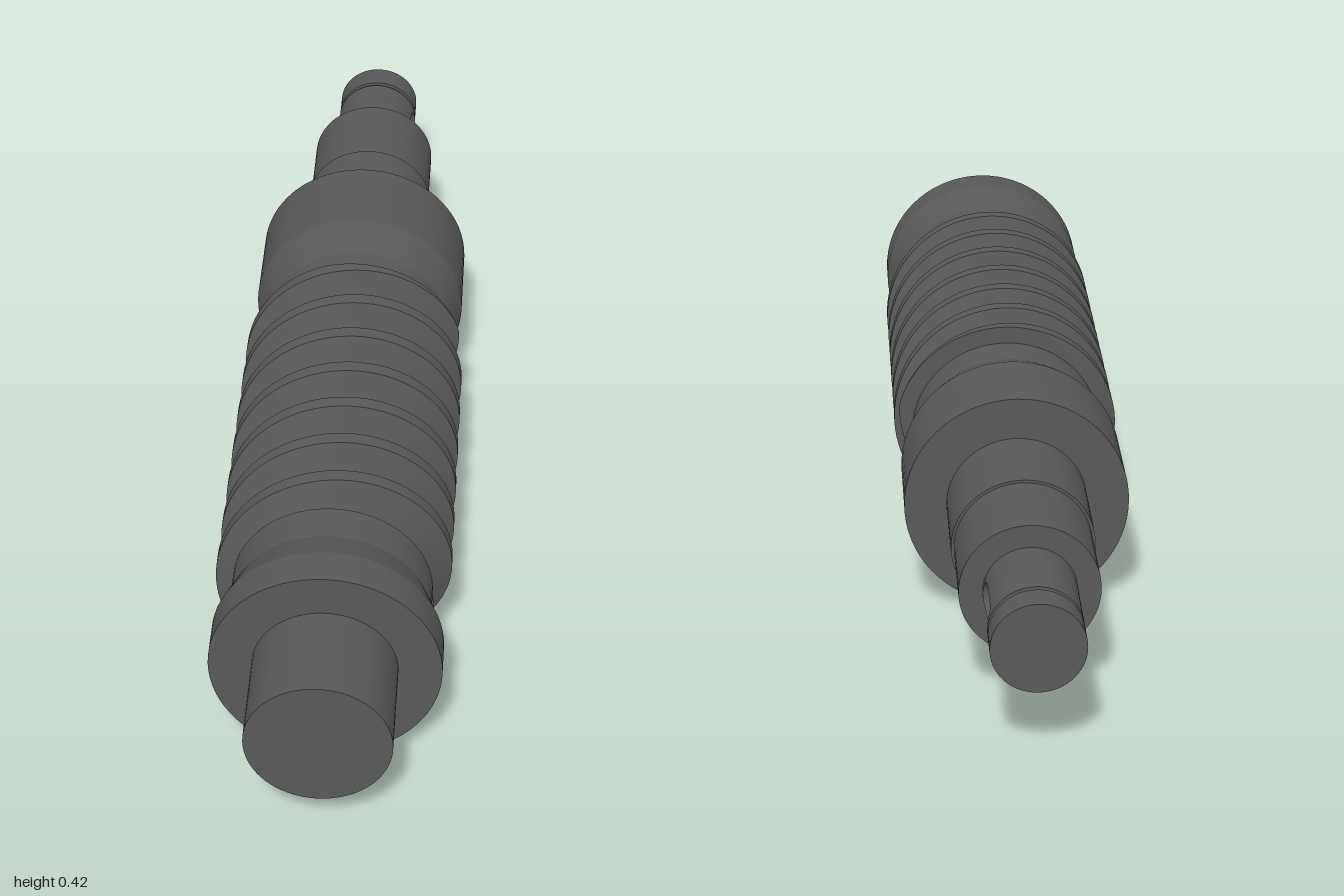
import * as THREE from 'three';
import { toCreasedNormals } from 'three/addons/utils/BufferGeometryUtils.js';

const material = new THREE.MeshStandardMaterial({ color: 0x595959 });
const TAU = Math.PI * 2;
const CREST = 0.21, ROOT = 0.14, PITCH = 0.105;
const THREAD_BACK = -0.095, THREAD_FRONT = 0.596;
const END_R = 0.081;

function part(name, geometry) {
  const mesh = new THREE.Mesh(toCreasedNormals(geometry, 0.25), material);
  mesh.name = name;
  return mesh;
}

// Turned part along z from [radius, z] pairs, listed back to front
function turned(name, profile) {
  const points = profile.map(([r, z]) => new THREE.Vector2(r, z));
  return part(name, new THREE.LatheGeometry(points, 72).rotateX(Math.PI / 2));
}

// Single-start right-hand worm thread with trapezoid teeth, cut flat at both ends
function wormThread() {
  const SEG = 96, crestHalf = 0.0135, baseHalf = 0.0375;
  const offsets = [-baseHalf, -crestHalf, crestHalf, baseHalf];
  const pos = [], index = [];
  let rows = 0;
  for (let i = 0; i <= SEG; i++) {
    const a = (i / SEG) * TAU;
    const crest0 = 0.543 + PITCH * (a / TAU - 0.25);
    const radiusAt = z => {
      const d = Math.abs(z - crest0 - PITCH * Math.round((z - crest0) / PITCH));
      const r = CREST - (d - crestHalf) / (baseHalf - crestHalf) * (CREST - ROOT);
      return THREE.MathUtils.clamp(r, ROOT, CREST);
    };
    const column = [[0.1, THREAD_BACK], [radiusAt(THREAD_BACK), THREAD_BACK]];
    for (let k = -8; k <= 2; k++) {
      for (const o of offsets) {
        const z = THREE.MathUtils.clamp(crest0 + k * PITCH + o, THREAD_BACK, THREAD_FRONT);
        column.push([radiusAt(z), z]);
      }
    }
    column.push([radiusAt(THREAD_FRONT), THREAD_FRONT], [0.1, THREAD_FRONT]);
    rows = column.length;
    for (const [r, z] of column) pos.push(r * Math.cos(a), r * Math.sin(a), z);
  }
  for (let i = 0; i < SEG; i++) {
    for (let j = 0; j < rows - 1; j++) {
      const a = i * rows + j, b = a + rows;
      index.push(a, b, a + 1, b, b + 1, a + 1);
    }
  }
  const g = new THREE.BufferGeometry();
  g.setAttribute('position', new THREE.Float32BufferAttribute(pos, 3));
  g.setIndex(index);
  return part('wormThread', g);
}

// Shaft end with a round-ended keyway on the +x side
function keywayShaft() {
  const group = new THREE.Group();
  group.name = 'keywayShaft';
  const back = -0.935, front = -0.785, half = 0.032, floor = 0.045;
  const a = Math.asin(half / END_R);
  const section = new THREE.Shape();
  section.absarc(0, 0, END_R, a, TAU - a, false);
  section.lineTo(floor, -half);
  section.lineTo(floor, half);
  section.closePath();
  const body = new THREE.ExtrudeGeometry(section, { depth: front - back, bevelEnabled: false, curveSegments: 64 });
  group.add(part('slottedShaft', body.translate(0, 0, back)));

  // Fillers that round off the two ends of the slot
  const middle = -(back + front) / 2, halfLength = (front - back) / 2;
  for (const s of [-1, 1]) {
    const arc = [], edge = [];
    for (let i = 0; i <= 14; i++) {
      const t = -Math.PI / 2 + (Math.PI * i) / 14;
      const v = half * Math.sin(t);
      arc.push(new THREE.Vector2(middle + s * (halfLength - 0.005 - half + half * Math.cos(t)), v));
      edge.unshift(new THREE.Vector2(middle + s * halfLength, v));
    }
    const g = new THREE.ExtrudeGeometry(new THREE.Shape([...arc, ...edge]), { depth: END_R - floor, bevelEnabled: false });
    g.rotateY(Math.PI / 2).translate(floor, 0, 0);
    const p = g.attributes.position;
    for (let i = 0; i < p.count; i++) {
      if (p.getX(i) > floor + 0.01) p.setX(i, Math.sqrt(END_R ** 2 - p.getY(i) ** 2));
    }
    group.add(part('keywayEnd', g));
  }
  return group;
}

export function createModel() {
  const model = new THREE.Group();
  model.name = 'wormShaft';
  const axle = new THREE.Group();
  axle.name = 'axle';
  axle.position.y = CREST;
  model.add(axle);

  axle.add(
    turned('frontJournal', [[0.127, 0.8], [0.127, 1], [0, 1]]),
    turned('frontCollar', [[0, THREAD_FRONT], [0.178, THREAD_FRONT], [0.178, 0.67], [0.203, 0.742], [0.203, 0.812], [0, 0.812]]),
    wormThread(),
    turned('backCollar', [[0, -0.428], [0.203, -0.428], [0.203, -0.25], [0.178, -0.175], [0.178, THREAD_BACK], [0, THREAD_BACK]]),
    turned('backJournal', [[0, -0.785], [0.122, -0.785], [0.122, -0.61], [0.127, -0.61], [0.127, -0.42]]),
    keywayShaft(),
    // Shaft tip with its retaining ring groove
    turned('shaftTip', [[0, -1], [END_R, -1], [END_R, -0.946], [0.074, -0.946], [0.074, -0.935]])
  );
  return model;
}
